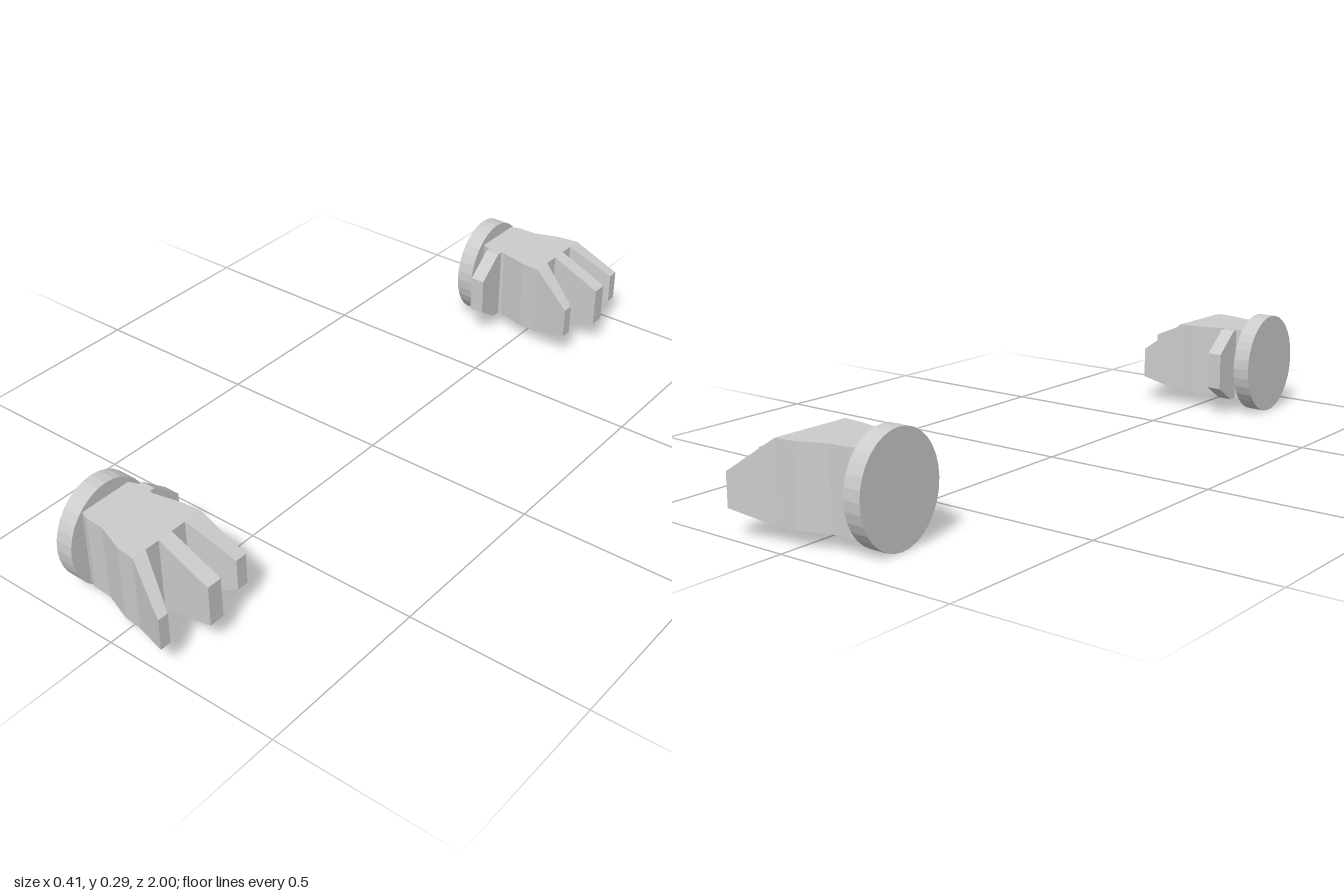
import * as THREE from 'three';

const material = new THREE.MeshStandardMaterial({ color: 0xcccccc, flatShading: true, side: THREE.DoubleSide });

// Joins convex [y, z] rings placed along x; side = -1 mirrors the solid in z
function loft(name, sections, side) {
  const rings = sections.map(({ x, ring }) => {
    const points = ring.map(([y, z]) => [x, y, z * side]);
    return side < 0 ? points.reverse() : points;
  });
  const n = rings[0].length;
  const pos = [];
  const tri = (a, b, c) => pos.push(...a, ...b, ...c);
  for (let s = 0; s < rings.length - 1; s++) {
    const a = rings[s], b = rings[s + 1];
    for (let i = 0; i < n; i++) {
      const j = (i + 1) % n;
      tri(a[i], a[j], b[j]);
      tri(a[i], b[j], b[i]);
    }
  }
  const first = rings[0], last = rings[rings.length - 1];
  for (let i = 1; i < n - 1; i++) {
    tri(first[0], first[i + 1], first[i]);
    tri(last[0], last[i], last[i + 1]);
  }
  const geometry = new THREE.BufferGeometry();
  geometry.setAttribute('position', new THREE.Float32BufferAttribute(pos, 3));
  geometry.computeVertexNormals();
  const mesh = new THREE.Mesh(geometry, material);
  mesh.name = name;
  return mesh;
}

// Rectangular section, corners anticlockwise seen from +x
const box = (x, y0, y1, z0, z1) => ({ x, ring: [[y0, z1], [y0, z0], [y1, z0], [y1, z1]] });

function createHand(side) {
  const hand = new THREE.Group();
  hand.name = side > 0 ? 'frontHand' : 'backHand';

  // Oval wrist cuff
  const cuffGeometry = new THREE.CylinderGeometry(0.146, 0.146, 0.05, 32);
  cuffGeometry.rotateZ(Math.PI / 2);
  cuffGeometry.scale(1, 1, 0.89);
  const cuff = new THREE.Mesh(cuffGeometry, material);
  cuff.name = 'cuff';
  cuff.position.set(-0.182, 0.146, 0.826 * side);
  hand.add(cuff);

  // Palm, flaring towards the knuckles
  hand.add(loft('palm', [
    box(-0.157, 0.042, 0.253, 0.757, 0.907),
    box(-0.135, 0.042, 0.253, 0.748, 0.916),
    box(-0.08, 0.041, 0.252, 0.752, 0.918),
    box(0.0, 0.04, 0.251, 0.734, 0.947),
    box(0.055, 0.04, 0.251, 0.73, 0.953),
  ], side));

  // Thumb, a tapered slab on the inner side
  const thumb = [[0.042, 0.78], [0.042, 0.725], [0.085, 0.66], [0.19, 0.66], [0.252, 0.735], [0.252, 0.78]];
  hand.add(loft('thumb', [{ x: -0.132, ring: thumb }, { x: -0.09, ring: thumb }], side));

  // Three tapered fingers, the outer two splayed
  const fingers = [
    ['innerFinger', box(0.055, 0.04, 0.251, 0.73, 0.783), box(0.171, 0.075, 0.163, 0.707, 0.74)],
    ['middleFinger', box(0.055, 0.04, 0.251, 0.827, 0.87), box(0.203, 0.072, 0.186, 0.827, 0.87)],
    ['outerFinger', box(0.055, 0.04, 0.251, 0.912, 0.953), box(0.171, 0.075, 0.163, 0.969, 1.0)],
  ];
  for (const [name, root, tip] of fingers) hand.add(loft(name, [root, tip], side));
  return hand;
}

export function createModel() {
  const model = new THREE.Group();
  model.name = 'hands';
  model.add(createHand(1), createHand(-1));
  return model;
}
